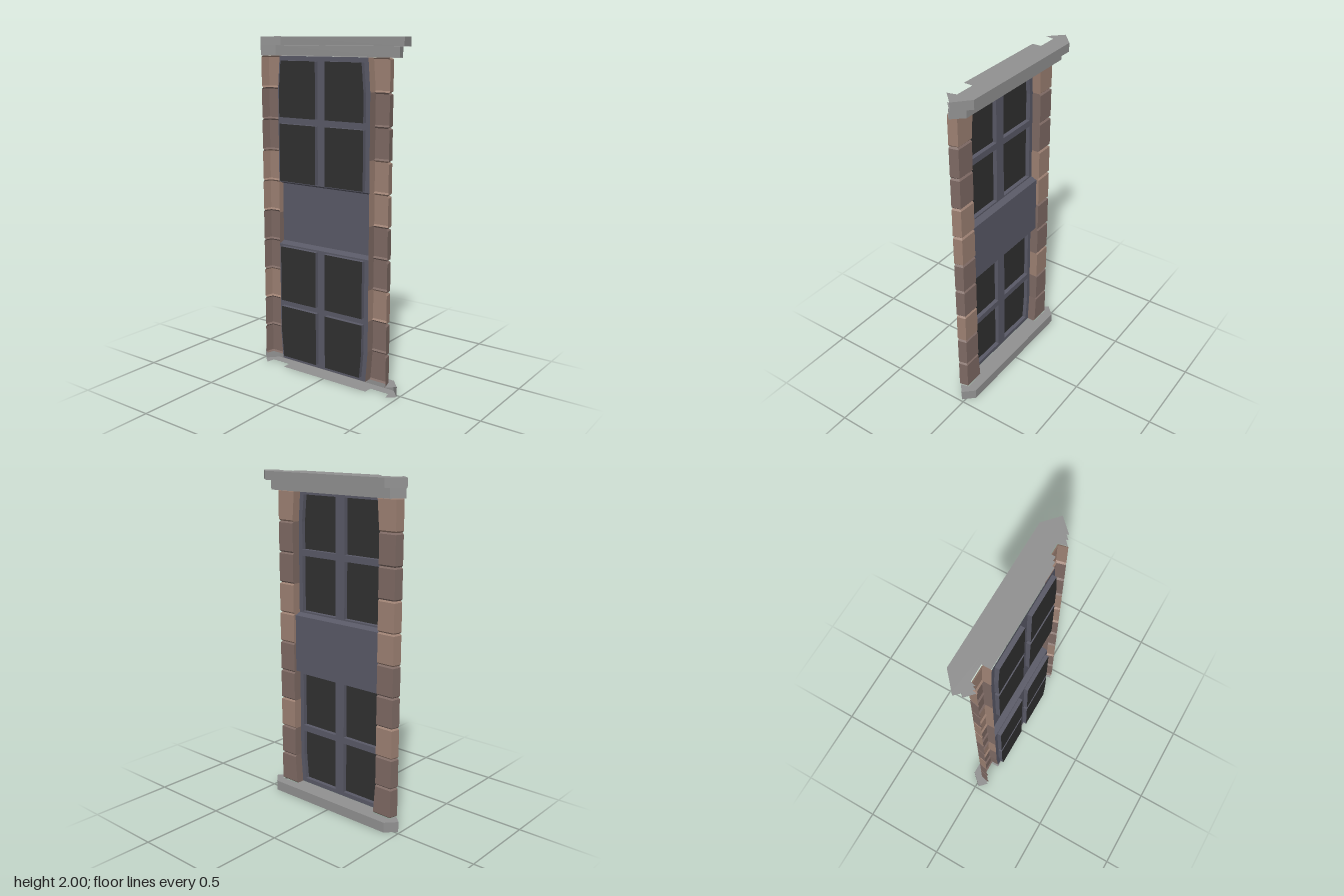
import * as THREE from 'three';

const mat = (color) => new THREE.MeshStandardMaterial({ color, flatShading: true, side: THREE.DoubleSide });

// Surface through rows of [x, y, z] points; each row has the same length
function loft(rows) {
  const n = rows[0].length, index = [];
  for (let r = 0; r < rows.length - 1; r++) {
    for (let i = 0; i < n - 1; i++) {
      const a = r * n + i, b = a + n;
      index.push(a, a + 1, b, b, a + 1, b + 1);
    }
  }
  const g = new THREE.BufferGeometry();
  g.setAttribute('position', new THREE.Float32BufferAttribute(rows.flat(2), 3));
  g.setIndex(index);
  const flat = g.toNonIndexed();
  flat.computeVertexNormals();
  return flat;
}

const BOTTOM = 0.062, TOP = 1.892, ROW = (TOP - BOTTOM) / 10;
const WALL = 0.013, FRAME = 0.066, GLASS = 0.091;

// Half width of the opening, pinched in the top and bottom courses
function opening(y) {
  const d = Math.min(y - BOTTOM, TOP - y);
  return 0.318 - 0.014 * Math.max(0, 1 - d / ROW);
}

export function createModel() {
  const model = new THREE.Group();
  const stone = mat(0x909090), paint = mat(0x595966), glass = mat(0x303030);
  const brickMats = [mat(0x9c8072), mat(0x7d6963)];

  const add = (name, geometry, material, parent = model) => {
    const m = new THREE.Mesh(geometry, material);
    m.name = name;
    parent.add(m);
    return m;
  };

  // Brick shells with bevelled joints, mirrored on both sides
  const shades = [1, 1, 0, 1, 1, 0, 0, 1, 1, 0];
  for (const s of [1, -1]) {
    const column = new THREE.Group();
    column.name = s > 0 ? 'leftBrickColumn' : 'rightBrickColumn';
    model.add(column);
    shades.forEach((shade, i) => {
      const y0 = BOTTOM + i * ROW, y1 = y0 + ROW, b = 0.009;
      const rows = [[y0, b], [y0 + b, 0], [y1 - b, 0], [y1, b]].map(([y, inset]) => [
        [s * (0.441 - inset), y, FRAME],
        [s * (0.429 - inset), y, WALL + inset],
        [s * opening(y), y, WALL + inset],
        [s * opening(y), y, FRAME],
      ]);
      add('brick', loft(rows), brickMats[shade], column);
    });
  }

  // Stone mouldings: flat caps notched behind the bricks, and an outer band
  function moulding(name, y0, y1, front, tipX, tipZ, caps) {
    const g = new THREE.Group();
    g.name = name;
    model.add(g);
    const band = [[-tipX, tipZ], [-0.428, front], [0.428, front], [tipX, tipZ]];
    add('band', loft([y0, y1].map((y) => band.map(([x, z]) => [x, y, z]))), stone, g);
    const half = [[0.438, 0.063], [0.426, 0.01], [0.304, 0.01], [0.304, 0.063]];
    const outline = [...band, ...half, ...half.map(([x, z]) => [-x, z]).reverse()];
    const shape = new THREE.Shape(outline.map(([x, z]) => new THREE.Vector2(x, z)));
    for (const y of caps) {
      const cap = add('cap', new THREE.ShapeGeometry(shape).rotateX(Math.PI / 2), stone, g);
      cap.position.y = y;
    }
  }
  moulding('sill', 0, 0.062, -0.045, 0.487, 0.018, [0, 0.062]);
  moulding('lowerCornice', TOP, 1.95, -0.045, 0.487, 0.018, [TOP]);
  moulding('upperCornice', 1.95, 2, -0.092, 0.516, -0.014, [1.95, 2]);

  // Window frames with four recessed panes each; the lower one is mirrored in height
  const low = 1.166, knee = TOP - ROW;
  for (const upper of [true, false]) {
    const g = new THREE.Group();
    g.name = upper ? 'upperWindow' : 'lowerWindow';
    model.add(g);
    const Y = (y) => (upper ? y : TOP + BOTTOM - y);
    const toShape = (pts, C = THREE.Shape) => new C(pts.map(([x, y]) => new THREE.Vector2(x, Y(y))));
    const frame = toShape([
      [-0.318, low], [0.318, low], [0.318, knee], [0.304, TOP], [-0.304, TOP], [-0.318, knee],
    ]);
    for (const s of [1, -1]) {
      const panes = [
        [[s * 0.033, 1.175], [s * 0.291, 1.175], [s * 0.291, 1.509], [s * 0.033, 1.509]],
        [[s * 0.033, 1.547], [s * 0.291, 1.547], [s * 0.291, knee], [s * 0.277, 1.866], [s * 0.033, 1.866]],
      ];
      for (const pts of panes) {
        frame.holes.push(toShape(pts, THREE.Path));
        add('pane', new THREE.ShapeGeometry(toShape(pts)), glass, g).position.z = GLASS;
        const loop = [...pts, pts[0]];
        add('reveal', loft([FRAME, GLASS].map((z) => loop.map(([x, y]) => [x, Y(y), z]))), paint, g);
      }
    }
    add('frame', new THREE.ShapeGeometry(frame), paint, g).position.z = FRAME;
  }

  // Raised panel between the windows, with sloping ledges above and below
  const ledge = [[TOP + BOTTOM - low, FRAME], [0.803, 0.03], [1.151, 0.03], [low, FRAME]];
  add('middlePanel', loft(ledge.map(([y, z]) => [[-0.318, y, z], [0.318, y, z]])), paint);

  return model;
}
